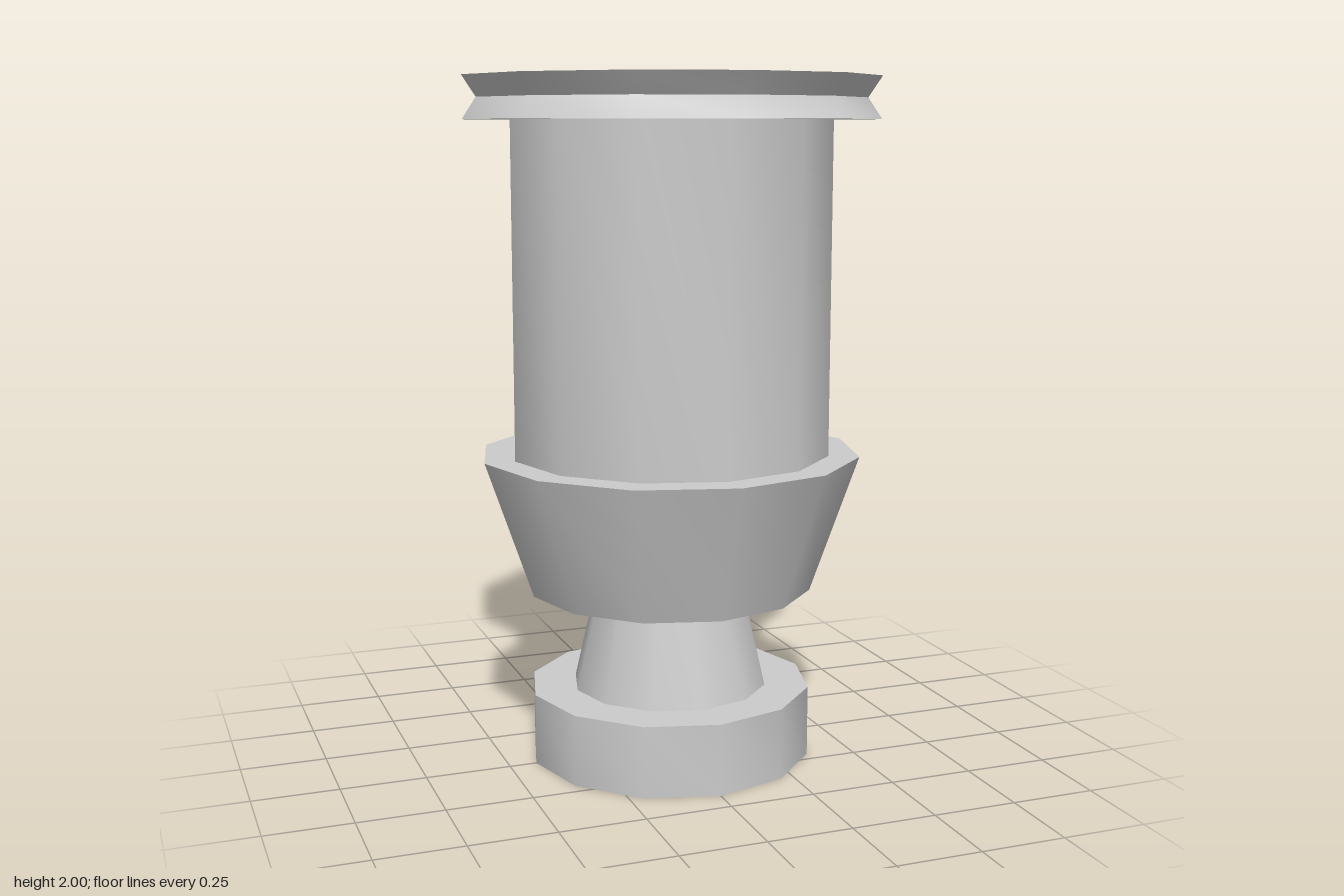
import * as THREE from 'three';
import { toCreasedNormals } from 'three/addons/utils/BufferGeometryUtils.js';

const SIDES = 12;
const grey = new THREE.MeshStandardMaterial({ color: 0xcccccc });

// Turned part from [radius, height] points, smooth around and sharp at its edges
function turned(name, points, sides = SIDES) {
  const profile = points.map(([r, y]) => new THREE.Vector2(r, y));
  const geometry = toCreasedNormals(new THREE.LatheGeometry(profile, sides), 0.65);
  const mesh = new THREE.Mesh(geometry, grey);
  mesh.name = name;
  return mesh;
}

// Thin straight blade along x with a flared, rounded tip
function bladeGeometry() {
  const s = new THREE.Shape();
  s.moveTo(0, -0.038);
  s.lineTo(0.39, -0.038);
  s.lineTo(0.425, -0.042);
  s.lineTo(0.436, -0.07);
  s.quadraticCurveTo(0.462, 0, 0.436, 0.07);
  s.lineTo(0.425, 0.042);
  s.lineTo(0.39, 0.038);
  s.lineTo(0, 0.038);
  s.closePath();
  const g = new THREE.ExtrudeGeometry(s, { depth: 0.01, bevelEnabled: false, curveSegments: 4 });
  g.rotateX(-Math.PI / 2);
  return g;
}

export function createModel() {
  const model = new THREE.Group();
  model.name = 'canister';

  // Hollow foot ring
  model.add(turned('footRing', [
    [0.29, 0], [0.42, 0], [0.42, 0.21], [0.29, 0.21], [0.29, 0],
  ]));

  // Tapered neck running up inside the collar
  model.add(turned('neck', [
    [0, 0.21], [0.29, 0.21], [0.13, 0.91], [0, 0.91],
  ]));

  // Flared hollow collar
  model.add(turned('collar', [
    [0.33, 0.51], [0.42, 0.51], [0.56, 0.915], [0.465, 0.915], [0.33, 0.51],
  ]));

  // Main barrel, closed at both ends
  model.add(turned('barrel', [
    [0, 0.91], [0.47, 0.91], [0.47, 1.89], [0, 1.89],
  ]));

  // Grooved rim with a sunken floor
  model.add(turned('rim', [
    [0, 1.88], [0.605, 1.88], [0.565, 1.94], [0.605, 2], [0.51, 2], [0.51, 1.9], [0, 1.9],
  ]));

  // Fan inside the rim: hub and four tilted blades
  const fan = new THREE.Group();
  fan.name = 'fan';
  fan.position.set(0.013, 1.9, 0.023);
  fan.add(turned('hub', [[0, 0], [0.054, 0], [0.054, 0.06], [0, 0.06]], 16));
  const geometry = bladeGeometry();
  for (let i = 0; i < 4; i++) {
    const blade = new THREE.Mesh(geometry, grey);
    blade.name = 'blade';
    blade.rotation.x = i % 2 ? 0.25 : -0.25;
    const arm = new THREE.Group();
    arm.name = 'fanArm';
    arm.position.y = 0.035;
    arm.rotation.y = Math.PI / 4 + i * Math.PI / 2;
    arm.add(blade);
    fan.add(arm);
  }
  model.add(fan);

  return model;
}
